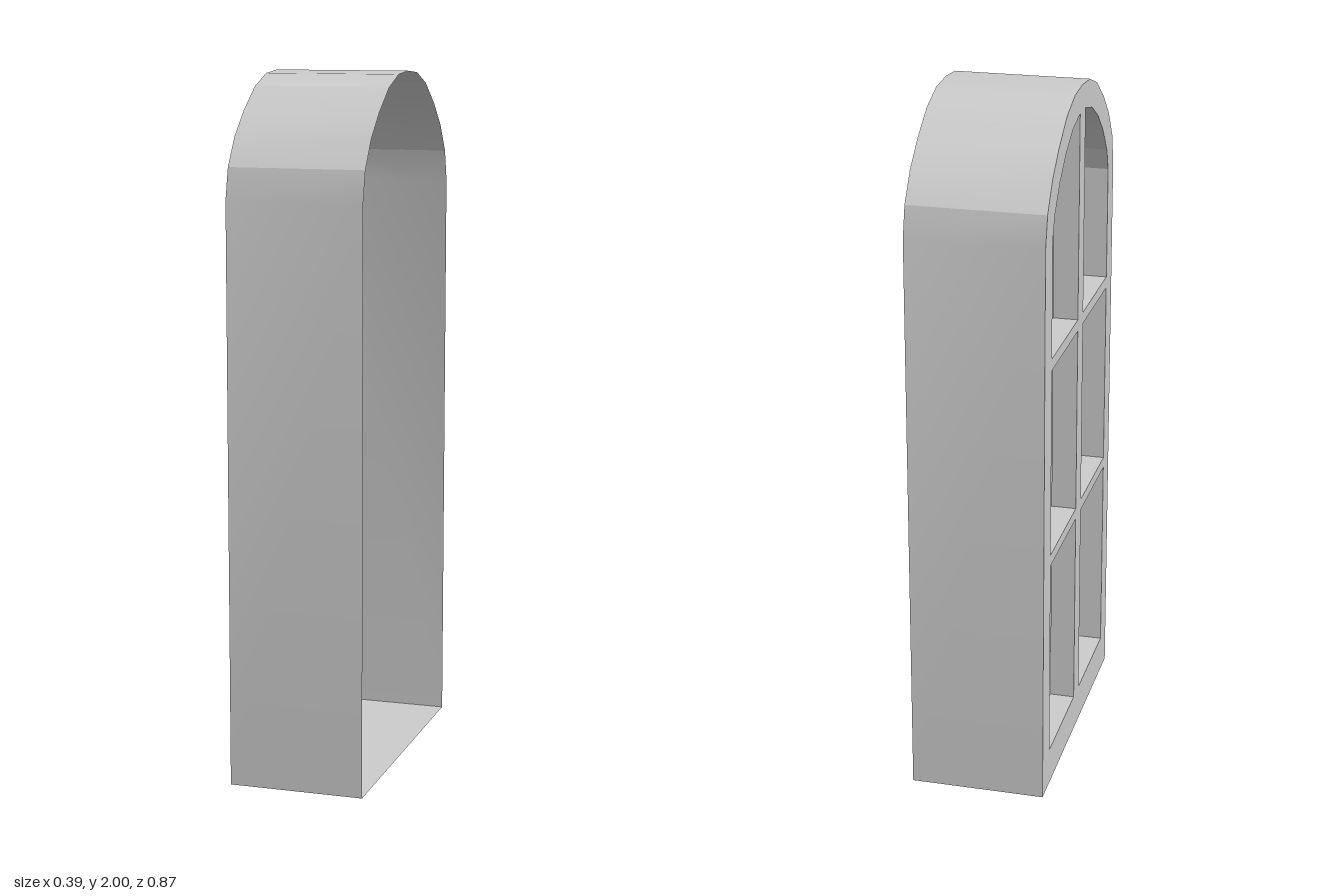
import * as THREE from 'three';
import { toCreasedNormals } from 'three/addons/utils/BufferGeometryUtils.js';

const HALF_DEPTH = 0.195;   // half of the surround's depth along x
const REVEAL = 0.073;       // how far the glazing bars reach inwards
const CENTRE = 0.005;       // middle of the panes along z

const material = new THREE.MeshStandardMaterial({ color: 0xcccccc, side: THREE.DoubleSide });

// Half of the outer arch and half of the inner arch, as [distance from middle, height]
const outerArch = [[0.436, 1.66], [0.415, 1.75], [0.36, 1.83], [0.285, 1.897], [0.19, 1.96], [0.095, 1.993]];
const innerArch = [[0.358, 1.66], [0.335, 1.725], [0.275, 1.80], [0.2, 1.862], [0.12, 1.905], [0.034, 1.925]];

// Closed outline in the z-y plane swept along x
function sweep(outline, x0, x1) {
  const positions = [];
  outline.forEach(([z, y], i) => {
    const [z2, y2] = outline[(i + 1) % outline.length];
    positions.push(x0, y, z, x1, y, z, x1, y2, z2);
    positions.push(x0, y, z, x1, y2, z2, x0, y2, z2);
  });
  const geometry = new THREE.BufferGeometry();
  geometry.setAttribute('position', new THREE.Float32BufferAttribute(positions, 3));
  return toCreasedNormals(geometry, 0.25);
}

function addMesh(group, geometry, name) {
  const mesh = new THREE.Mesh(geometry, material);
  mesh.name = name;
  group.add(mesh);
}

const toPoints = (outline) => outline.map(([z, y]) => new THREE.Vector2(z, y));

// Three panes on one side of the middle bar (side is 1 or -1)
function paneOutlines(side) {
  const near = 0.034, far = 0.358;
  const box = (y0, y1) => [[near, y0], [far, y0], [far, y1], [near, y1]];
  const panes = [box(0.11, 0.705), box(0.738, 1.292), [[near, 1.326], [far, 1.326], ...innerArch]];
  return panes.map((pane) => {
    const outline = pane.map(([s, y]) => [CENTRE + side * s, y]);
    return side > 0 ? outline.reverse() : outline; // reveals face into the opening
  });
}

export function createModel() {
  const group = new THREE.Group();
  group.name = 'archedWindow';

  const mirrored = outerArch.map(([s, y]) => [-s, y]).reverse();
  const outline = [[0.436, 0], ...outerArch, [0, 2], ...mirrored, [-0.436, 0]];

  // Deep thin surround with its sill, open towards +x
  addMesh(group, sweep(outline, -HALF_DEPTH, HALF_DEPTH), 'surround');

  // Face with six openings, flush with the -x edge
  const panes = [...paneOutlines(1), ...paneOutlines(-1)];
  const shape = new THREE.Shape(toPoints(outline));
  shape.holes = panes.map((pane) => new THREE.Path(toPoints(pane)));
  const face = new THREE.ShapeGeometry(shape);
  face.rotateY(-Math.PI / 2);
  face.translate(-HALF_DEPTH, 0, 0);
  addMesh(group, face, 'windowFrame');

  // Reveals running inwards around each opening
  panes.forEach((pane, i) => {
    addMesh(group, sweep(pane, -HALF_DEPTH, -HALF_DEPTH + REVEAL), `paneReveal${i + 1}`);
  });

  return group;
}
